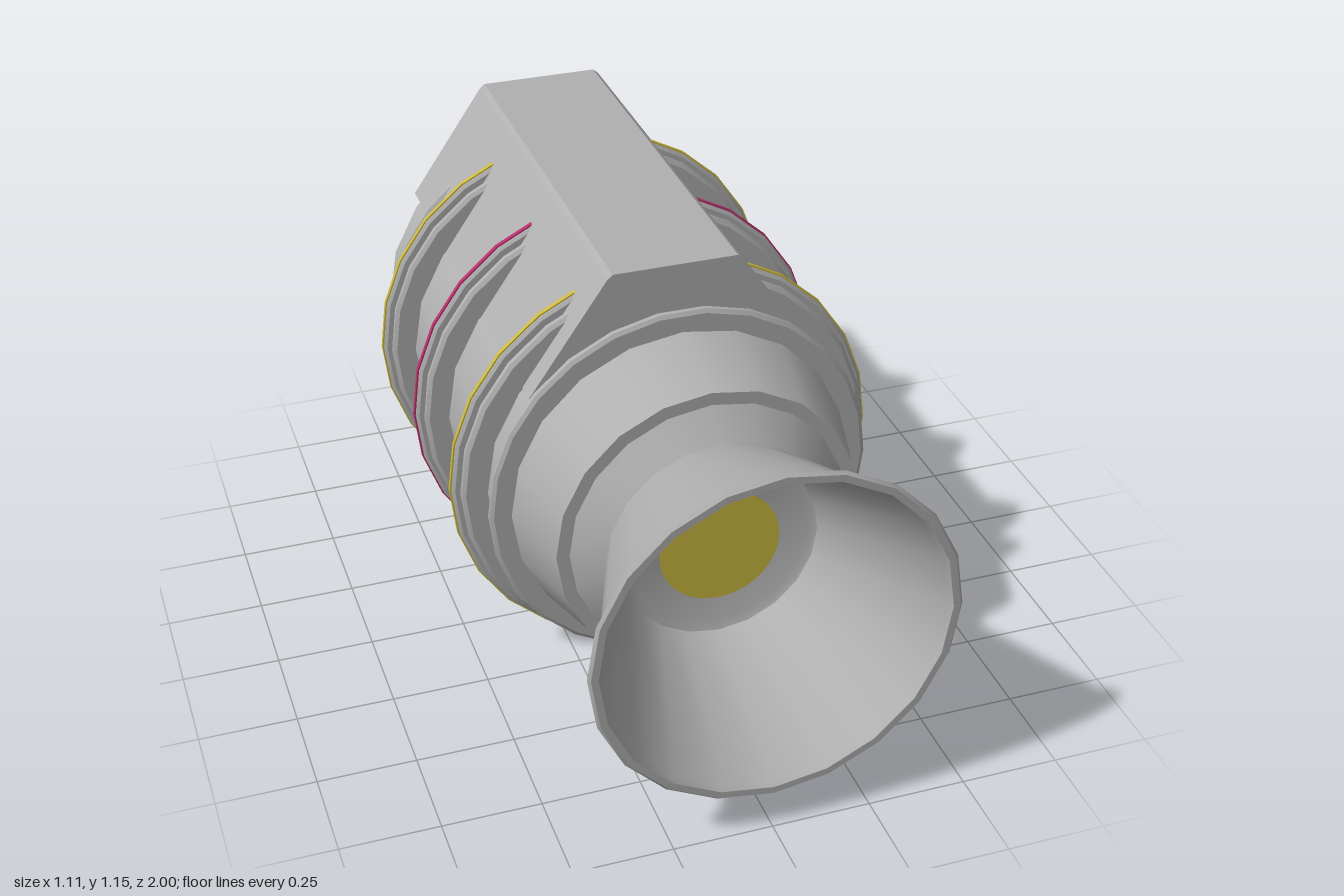
import * as THREE from 'three';
import { toCreasedNormals } from 'three/addons/utils/BufferGeometryUtils.js';

const CY = 0.557; // height of the long axis

export function createModel() {
  const model = new THREE.Group();
  model.name = 'thruster';
  const mat = (name, color) => {
    const m = new THREE.MeshStandardMaterial({ color });
    m.name = name;
    return m;
  };
  const grey = mat('hull grey', 0xb0b0b0);
  const yellow = mat('yellow', 0xccb93f);
  const magenta = mat('magenta', 0xb8306c);

  const add = (name, geometry, material, x = 0, y = CY, z = 0) => {
    const mesh = new THREE.Mesh(geometry, material);
    mesh.name = name;
    mesh.position.set(x, y, z);
    model.add(mesh);
    return mesh;
  };

  // Turned part along z; profile entries are [radius, z], from back to front
  const turned = (profile, sides) => {
    const pts = profile.map(([r, z]) => new THREE.Vector2(r, z));
    const g = new THREE.LatheGeometry(pts, sides, Math.PI / 2);
    g.rotateX(Math.PI / 2);
    return toCreasedNormals(g, 0.5);
  };

  // Main barrel with chamfered back and tapered front
  add('barrel', turned([
    [0, -0.945], [0.37, -0.945], [0.395, -0.92], [0.473, -0.83],
    [0.473, 0.2], [0.387, 0.53], [0, 0.53],
  ], 20), grey);

  // Exhaust bell, open at the front with a closed throat
  add('nozzle', turned([
    [0.36, 0.525], [0.282, 0.59], [0.43, 0.984], [0.448, 0.984], [0.455, 0.992],
    [0.448, 1.0], [0.43, 1.0], [0.422, 0.985], [0.25, 0.608], [0.228, 0.6], [0, 0.6],
  ], 20), grey);
  add('exhaustGlow', new THREE.CircleGeometry(0.153, 40), yellow, 0, CY, 0.604);

  // Back cover plate with six bolts
  add('backPlate', turned([
    [0, -0.985], [0.34, -0.985], [0.356, -0.975], [0.356, -0.955], [0.345, -0.94],
  ], 20), grey);
  const boltGeo = new THREE.CylinderGeometry(0.02, 0.02, 0.03, 8).rotateX(Math.PI / 2);
  for (let i = 0; i < 6; i++) {
    const a = i * Math.PI / 3;
    add('bolt', boltGeo, grey, 0.215 * Math.cos(a), CY + 0.215 * Math.sin(a), -0.985);
  }

  // Clamp bands: stepped base, raised flange and a coloured strip around the rim
  const bandGeo = turned([
    [0.45, -0.045], [0.525, -0.045], [0.535, -0.038], [0.535, -0.026], [0.522, -0.018],
    [0.522, -0.015], [0.545, -0.015], [0.553, -0.009], [0.553, 0.009], [0.545, 0.015],
    [0.522, 0.015], [0.522, 0.018], [0.535, 0.026], [0.535, 0.038], [0.525, 0.045], [0.45, 0.045],
  ], 26);
  const stripGeo = turned([
    [0.54, -0.006], [0.557, -0.006], [0.557, 0.006], [0.54, 0.006],
  ], 26);
  for (const [z, color] of [[0.168, yellow], [-0.205, magenta], [-0.573, yellow]]) {
    add('clampBand', bandGeo, grey, 0, CY, z);
    add('bandStrip', stripGeo, color, 0, CY, z);
  }

  // Thin ribs near each end of the barrel
  const ribGeo = turned([
    [0.42, -0.012], [0.485, -0.012], [0.495, -0.006], [0.495, 0.006], [0.485, 0.012], [0.42, 0.012],
  ], 26);
  for (const z of [0.315, -0.723]) add('rib', ribGeo, grey, 0, CY, z);

  // Angular housing along the top
  const shape = new THREE.Shape([
    [-0.372, 0.847], [0.372, 0.847], [0.172, 1.138], [0.158, 1.15], [-0.158, 1.15], [-0.172, 1.138],
  ].map(([x, y]) => new THREE.Vector2(x, y)));
  const housing = new THREE.ExtrudeGeometry(shape, { depth: 1.16, bevelEnabled: false });
  add('topHousing', housing, grey, 0, 0, -0.89);

  return model;
}
